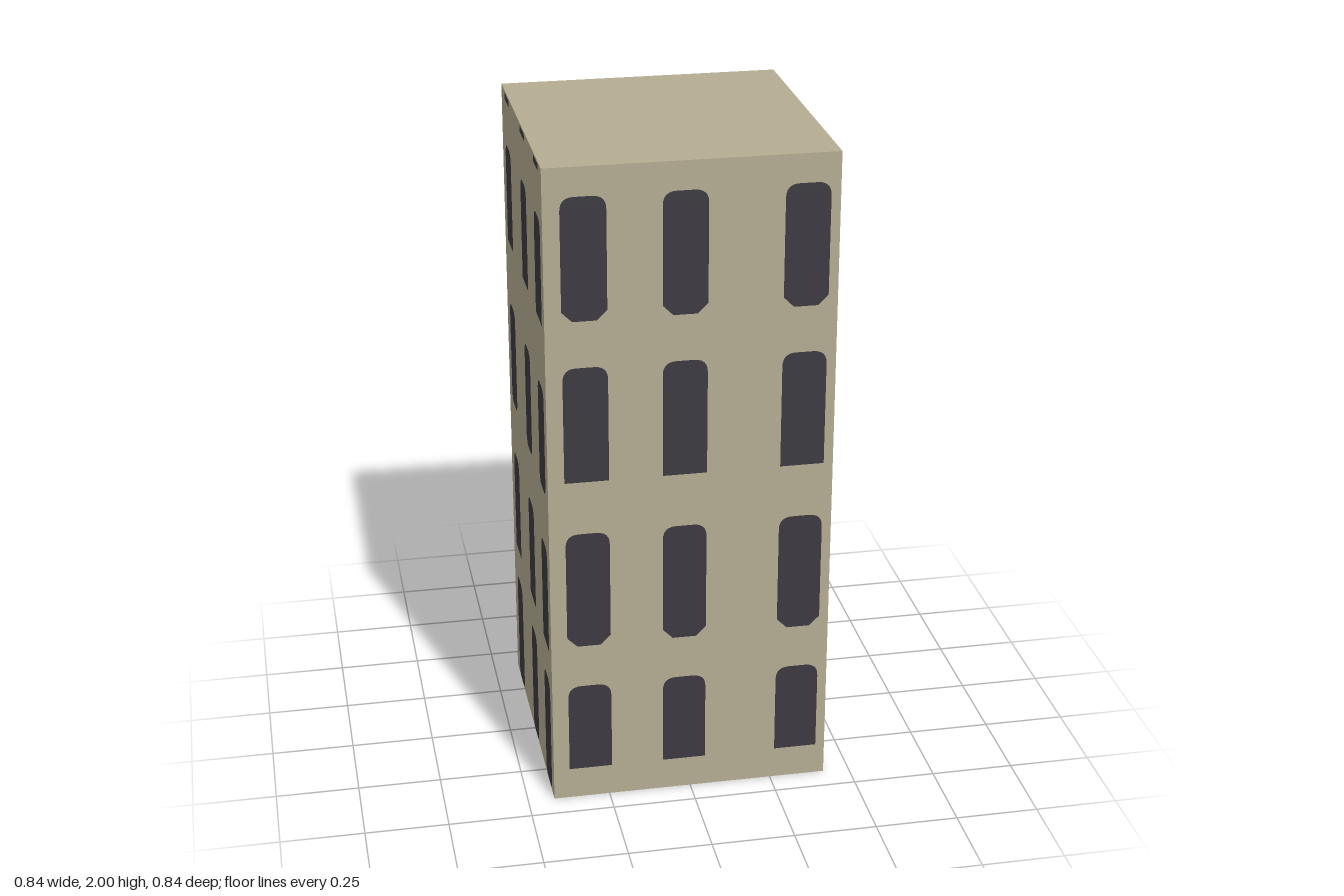
import * as THREE from 'three';

const W = 0.84, H = 2;

// Window outline: rounded head, foot corners cut by f
function windowShape(w, y0, y1, f) {
  const h = w / 2, r = 0.04, s = new THREE.Shape();
  s.moveTo(-h + f, y0);
  s.lineTo(h - f, y0);
  s.lineTo(h, y0 + f);
  s.lineTo(h, y1 - r);
  s.quadraticCurveTo(h, y1, h - r, y1);
  s.lineTo(-h + r, y1);
  s.quadraticCurveTo(-h, y1, -h, y1 - r);
  s.lineTo(-h, y0 + f);
  s.closePath();
  return s;
}

export function createModel() {
  const stone = new THREE.MeshStandardMaterial({ color: 0xb4ab91 });
  stone.name = 'sand stone';
  const glass = new THREE.MeshStandardMaterial({ color: 0x3c3a41 });
  glass.name = 'dark glass';

  const model = new THREE.Group();
  model.name = 'towerBlock';

  // Plain square tower
  const tower = new THREE.Mesh(new THREE.BoxGeometry(W, H, W), stone);
  tower.name = 'tower';
  tower.position.y = H / 2;
  model.add(tower);

  // Each wall: turn about y, window width, column centres, rows as [bottom, top, foot cut]
  const walls = [
    { name: 'front', turn: 0, w: 0.13, cols: [-0.307, -0.02, 0.327],
      rows: [[0.1, 0.385, 0], [0.52, 0.89, 0.03], [1.055, 1.41, 0], [1.55, 1.915, 0.03]] },
    { name: 'plusX', turn: Math.PI / 2, w: 0.116, cols: [-0.272, -0.02, 0.285],
      rows: [[0.11, 0.395, 0], [0.535, 0.89, 0.02], [1.05, 1.4, 0], [1.54, 1.895, 0.025]] },
    { name: 'back', turn: Math.PI, w: 0.122, cols: [-0.302, -0.023, 0.302],
      rows: [[0.09, 0.385, 0], [0.515, 0.885, 0.03], [1.05, 1.405, 0], [1.545, 1.905, 0.03]] },
    { name: 'minusX', turn: -Math.PI / 2, w: 0.118, cols: [-0.285, 0.048, 0.328],
      rows: [[0.01, 0.38, 0.02], [0.49, 0.825, 0], [1.0, 1.33, 0.02], [1.53, 1.84, 0]], topStrip: true },
  ];

  for (const { name, turn, w, cols, rows, topStrip } of walls) {
    const wall = new THREE.Group();
    wall.name = name + 'Windows';
    wall.rotation.y = turn;
    for (const x of cols) {
      for (const [y0, y1, foot] of rows) {
        const pane = new THREE.Mesh(new THREE.ShapeGeometry(windowShape(w, y0, y1, foot), 6), glass);
        pane.name = 'window';
        pane.position.set(x, 0, W / 2 + 0.002);
        wall.add(pane);
      }
      // Short dark strips under the roof edge
      if (topStrip) {
        const strip = new THREE.Mesh(new THREE.PlaneGeometry(w * 0.8, 0.02), glass);
        strip.name = 'roofEdgeStrip';
        strip.position.set(x, H - 0.012, W / 2 + 0.002);
        wall.add(strip);
      }
    }
    model.add(wall);
  }
  return model;
}
